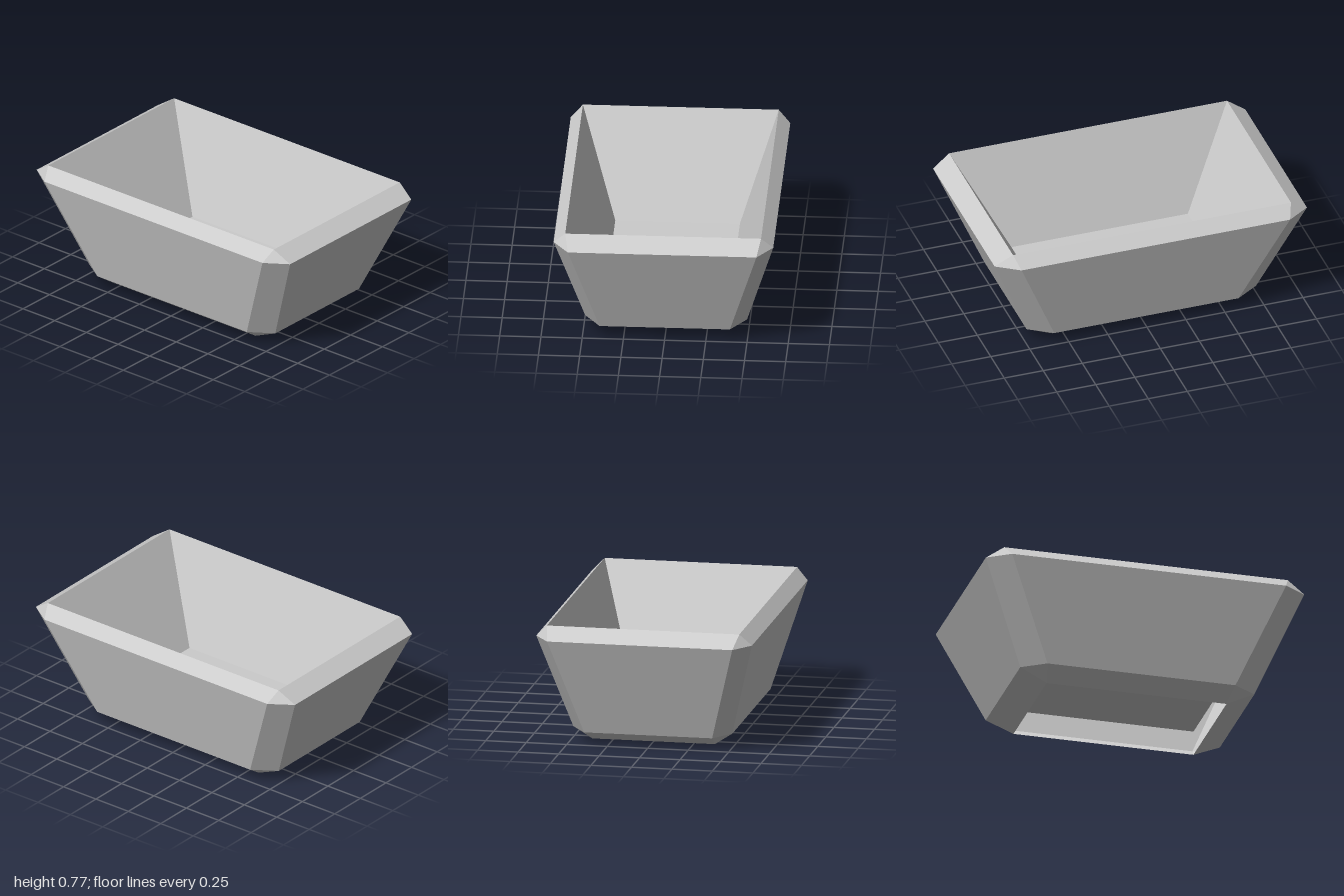
import * as THREE from 'three';

const material = new THREE.MeshStandardMaterial({ color: 0xcccccc, flatShading: true, side: THREE.DoubleSide });

// Eight-point ring: a rectangle (x, z) whose corners are cut at (cx, cz); no cut gives a plain rectangle.
function ring(y, x, z, cx = x, cz = z) {
  return [
    [x, cz], [cx, z], [-cx, z], [-x, cz],
    [-x, -cz], [-cx, -z], [cx, -z], [x, -cz],
  ].map(([px, pz]) => new THREE.Vector3(px, y, pz));
}

// Flat-faced skin through successive rings, optionally closed at the last one.
function loft(name, rings, closeEnd = false) {
  const points = [];
  const addTriangle = (a, b, c) => {
    if (new THREE.Triangle(a, b, c).getArea() > 1e-6) points.push(a, b, c);
  };
  for (let r = 0; r < rings.length - 1; r++) {
    for (let i = 0; i < 8; i++) {
      const j = (i + 1) % 8;
      const a = rings[r][i], b = rings[r][j], c = rings[r + 1][j], d = rings[r + 1][i];
      addTriangle(a, d, c);
      addTriangle(a, c, b);
    }
  }
  if (closeEnd) {
    const last = rings[rings.length - 1];
    for (let i = 1; i < 7; i++) addTriangle(last[0], last[i + 1], last[i]);
  }
  const geometry = new THREE.BufferGeometry().setFromPoints(points);
  geometry.computeVertexNormals();
  const mesh = new THREE.Mesh(geometry, material);
  mesh.name = name;
  return mesh;
}

export function createModel() {
  const group = new THREE.Group();
  group.name = 'tub';

  const foot = ring(0, 0.565, 0.378);
  const lowerEdge = ring(0.077, 0.735, 0.491, 0.59, 0.395);
  const upperEdge = ring(0.697, 1, 0.666, 0.86, 0.572);
  const rim = ring(0.77, 0.89, 0.594);
  const floor = ring(0.155, 0.565, 0.378);

  // Bevelled foot, open underneath
  group.add(loft('foot', [foot, lowerEdge]));
  // Sloping outer wall with cut corners
  group.add(loft('outerWall', [lowerEdge, upperEdge]));
  // Bevelled rim
  group.add(loft('rim', [upperEdge, rim]));
  // Inner basin with a raised floor
  group.add(loft('basin', [rim, floor], true));

  return group;
}
